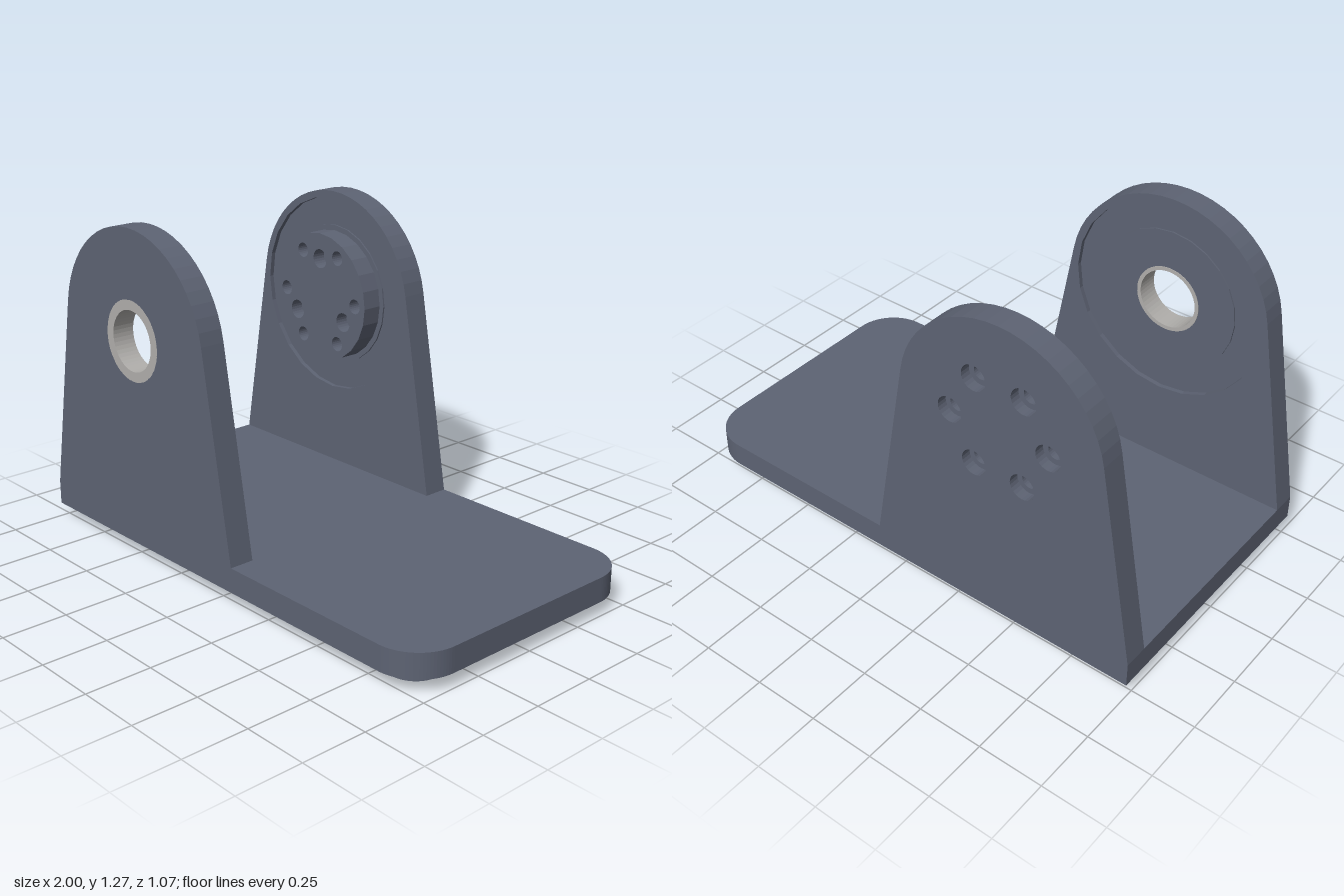
import * as THREE from 'three';

const CX = -0.455, CY = 0.853; // pivot axis shared by both uprights

function circle(r, x = CX, y = CY, Type = THREE.Path) {
  return new Type().absarc(x, y, r, 0, Math.PI * 2, false);
}

// Tapered upright with a round top
function uprightShape() {
  const s = new THREE.Shape();
  const a = THREE.MathUtils.degToRad(9.6);
  s.moveTo(-1, 0.15);
  s.lineTo(0.09, 0.15);
  s.absarc(CX, CY, 0.415, a, Math.PI - a, false);
  s.closePath();
  return s;
}

// Rectangle with a separate corner radius for the -x and +x ends
function plateShape(x0, x1, y0, y1, rLeft, rRight) {
  const s = new THREE.Shape(), h = Math.PI / 2;
  const corner = (x, y, r, a) => (r ? s.absarc(x, y, r, a, a + h, false) : s.lineTo(x, y));
  s.moveTo(x0 + rLeft, y0);
  corner(x1 - rRight, y0 + rRight, rRight, -h);
  corner(x1 - rRight, y1 - rRight, rRight, 0);
  corner(x0 + rLeft, y1 - rLeft, rLeft, h);
  corner(x0 + rLeft, y0 + rLeft, rLeft, 2 * h);
  s.closePath();
  return s;
}

// Holes evenly spaced around the pivot
function boltCircle(count, ring, r, start) {
  return Array.from({ length: count }, (_, i) => {
    const a = start + (i / count) * Math.PI * 2;
    return circle(r, CX + ring * Math.cos(a), CY + ring * Math.sin(a));
  });
}

export function createModel() {
  const model = new THREE.Group();
  const body = new THREE.MeshStandardMaterial({ color: 0x5d6373 });
  body.name = 'slate grey';
  const metal = new THREE.MeshStandardMaterial({ color: 0xb0aeab });
  metal.name = 'light metal';

  // A slab of a shape between two z values
  function layer(parent, name, shape, holes, z0, z1, material = body, curveSegments = 12) {
    shape.holes.push(...holes);
    const geo = new THREE.ExtrudeGeometry(shape, { depth: z1 - z0, bevelEnabled: false, curveSegments });
    geo.translate(0, 0, z0);
    const mesh = new THREE.Mesh(geo, material);
    mesh.name = name;
    parent.add(mesh);
  }
  function part(name) {
    const g = new THREE.Group();
    g.name = name;
    model.add(g);
    return g;
  }
  const disc = (r) => circle(r, CX, CY, THREE.Shape);

  // Base plate and feet, extruded upwards
  const base = part('base');
  base.rotation.x = -Math.PI / 2;
  layer(base, 'basePlate', plateShape(-1, 1, -0.535, 0.535, 0, 0.17), [], 0.055, 0.15);
  for (const x of [-0.77, 0.765]) {
    for (const y of [-0.305, 0.305]) {
      layer(base, 'foot', plateShape(x - 0.15, x + 0.15, y - 0.15, y + 0.15, 0.1, 0.1), [], 0, 0.055);
    }
  }

  // Front upright: stepped bore, shallow round recess on its inner face
  const front = part('frontUpright');
  layer(front, 'outerSkin', uprightShape(), [circle(0.153)], 0.515, 0.535);
  layer(front, 'web', uprightShape(), [circle(0.13)], 0.456, 0.515);
  layer(front, 'recessRim', uprightShape(), [circle(0.388)], 0.438, 0.456);
  layer(front, 'raisedRing', disc(0.278), [circle(0.13)], 0.45, 0.456);

  // Flanged bushing
  const bushing = part('bushing');
  layer(bushing, 'flange', disc(0.153), [circle(0.115)], 0.515, 0.535, metal, 24);
  layer(bushing, 'sleeve', disc(0.13), [circle(0.115)], 0.448, 0.515, metal, 24);

  // Rear upright: counterbored screw holes, same recess
  const screws = (r) => boltCircle(6, 0.2, r, 0);
  const rear = part('rearUpright');
  layer(rear, 'counterboredSkin', uprightShape(), screws(0.05), -0.535, -0.495);
  layer(rear, 'web', uprightShape(), screws(0.029), -0.495, -0.456);
  layer(rear, 'recessRim', uprightShape(), [circle(0.388)], -0.456, -0.438);
  layer(rear, 'raisedRing', disc(0.278), screws(0.029), -0.456, -0.45);

  // Hub with six screw holes and three blind pin holes
  const hub = part('hub');
  layer(hub, 'hubBase', disc(0.257), screws(0.029), -0.45, -0.425);
  layer(hub, 'hubFace', disc(0.257), [...screws(0.029), ...boltCircle(3, 0.155, 0.038, Math.PI / 2)], -0.425, -0.37);

  return model;
}
